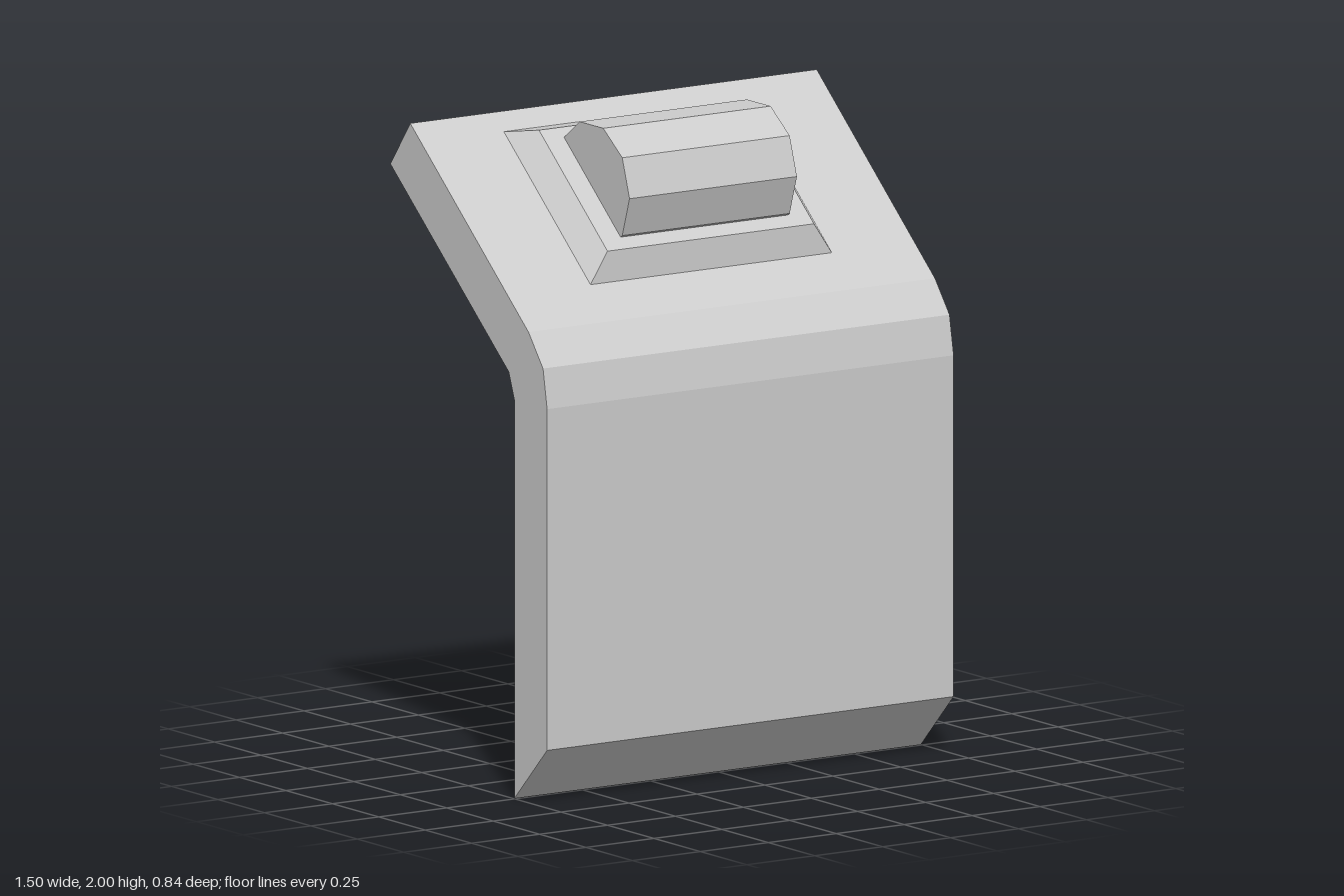
import * as THREE from 'three';

const grey = new THREE.MeshStandardMaterial({ color: 0xcccccc });
grey.name = 'light grey';

// Extrudes a side profile given as [z, y] points across the width, centred on x = 0
function prism(name, points, width) {
  const shape = new THREE.Shape(points.map(([z, y]) => new THREE.Vector2(z, y)));
  const geometry = new THREE.ExtrudeGeometry(shape, { depth: width, bevelEnabled: false });
  geometry.translate(0, 0, -width / 2).rotateY(-Math.PI / 2);
  const mesh = new THREE.Mesh(geometry, grey);
  mesh.name = name;
  return mesh;
}

// Rectangular block whose top is drawn in by the same inset on all sides
function bevelledBlock(name, width, height, depth, inset) {
  let geometry = new THREE.BoxGeometry(width, height, depth).translate(0, height / 2, 0);
  const p = geometry.attributes.position;
  for (let i = 0; i < p.count; i++) {
    if (p.getY(i) > height / 2) {
      p.setX(i, p.getX(i) - Math.sign(p.getX(i)) * inset);
      p.setZ(i, p.getZ(i) - Math.sign(p.getZ(i)) * inset);
    }
  }
  geometry = geometry.toNonIndexed();
  geometry.computeVertexNormals();
  const mesh = new THREE.Mesh(geometry, grey);
  mesh.name = name;
  return mesh;
}

export function createModel() {
  const model = new THREE.Group();
  model.name = 'bentPanelWithRoller';

  // Upright panel bending back into a sloping top
  model.add(prism('bentPanel', [
    [0.245, 0], [0.422, 0.178], [0.422, 1.235], [0.4, 1.357], [0.322, 1.457],
    [-0.315, 2], [-0.422, 1.857], [0.215, 1.317], [0.247, 1.23],
  ], 1.496));

  // Bevelled mount lying on the slope
  const mount = bevelledBlock('rollerMount', 0.888, 0.072, 0.613, 0.064);
  mount.position.set(0, 1.751, -0.0225);
  mount.rotation.x = Math.atan2(0.637, 0.543) - Math.PI / 2 + 2 * Math.atan2(0.543, 0.637);
  model.add(mount);

  // Ten-sided roller sunk into the mount
  const roller = [];
  for (let i = 0; i < 10; i++) {
    const a = (i / 10) * Math.PI * 2;
    roller.push([0.017 + 0.205 * Math.cos(a), 1.805 + 0.205 * Math.sin(a)]);
  }
  model.add(prism('roller', roller, 0.616));

  return model;
}
